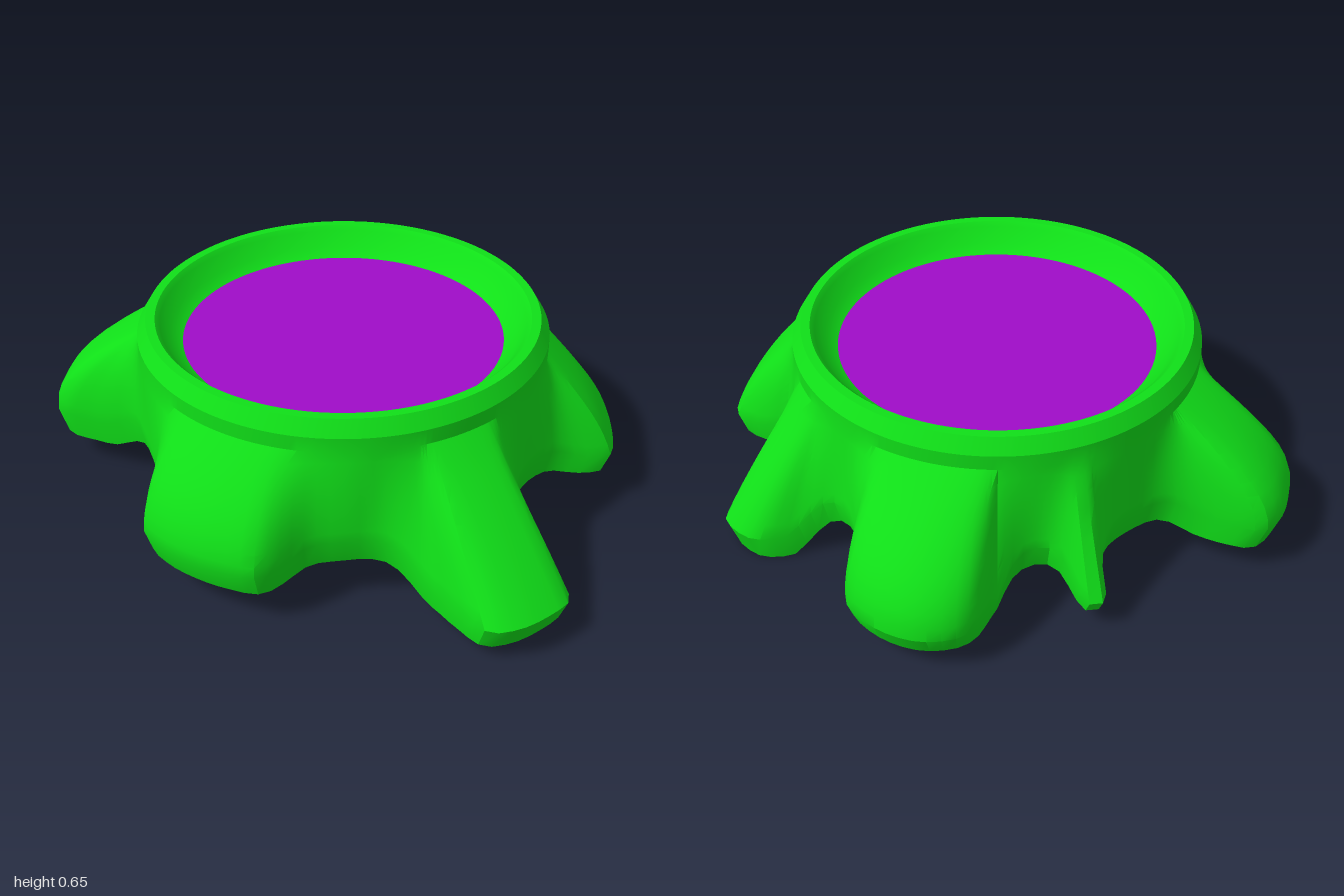
import * as THREE from 'three';
import { toCreasedNormals } from 'three/addons/utils/BufferGeometryUtils.js';

const CZ = 0.03; // z of the stump's axis
const SEGMENTS = 168;

// Footprint of the stump with its roots, as x, z pairs
const OUTLINE = [
  0.68, 0, 0.7, 0.14, 0.82, 0.25, 0.95, 0.34, 1, 0.39, 0.98, 0.48, 0.93, 0.58, 0.86, 0.64, 0.75, 0.61,
  0.62, 0.56, 0.47, 0.56, 0.35, 0.64, 0.28, 0.7, 0.24, 0.79, 0.2, 0.86, 0.1, 0.89, 0, 0.9,
  -0.12, 0.89, -0.22, 0.85, -0.25, 0.78, -0.29, 0.68, -0.37, 0.6, -0.49, 0.5, -0.58, 0.44,
  -0.74, 0.45, -0.9, 0.46, -0.96, 0.37, -1, 0.26, -0.99, 0.17, -0.92, 0.13, -0.8, 0.09, -0.71, 0.03,
  -0.67, -0.08, -0.66, -0.2, -0.69, -0.28, -0.76, -0.345, -0.73, -0.39, -0.67, -0.38, -0.6, -0.37,
  -0.55, -0.39, -0.51, -0.47, -0.53, -0.62, -0.55, -0.7, -0.54, -0.77, -0.46, -0.86, -0.33, -0.905,
  -0.19, -0.89, -0.14, -0.84, -0.07, -0.73, 0.02, -0.67, 0.1, -0.665, 0.18, -0.72, 0.25, -0.81,
  0.31, -0.85, 0.43, -0.84, 0.46, -0.8, 0.43, -0.67, 0.41, -0.56, 0.48, -0.48, 0.6, -0.51,
  0.72, -0.52, 0.79, -0.43, 0.855, -0.26, 0.82, -0.23, 0.72, -0.15, 0.69, -0.08,
];

// Each root: tip position, heights of its lower and upper tip edge, roundness of its back
const ROOTS = [
  { x: 0.95, z: 0.49, low: 0.05, high: 0.13, bulge: 0.15 },
  { x: 0, z: 0.9, low: 0.12, high: 0.2, bulge: 1 },
  { x: -0.98, z: 0.28, low: 0.1, high: 0.19, bulge: 1 },
  { x: -0.75, z: -0.36, low: 0.07, high: 0.12, bulge: 0 },
  { x: -0.38, z: -0.88, low: 0.08, high: 0.15, bulge: 1 },
  { x: 0.4, z: -0.84, low: 0, high: 0.09, bulge: 0.2 },
  { x: 0.8, z: -0.4, low: 0.13, high: 0.2, bulge: 0.6 },
];

// Rim profile from the inner floor edge to the outer wall, as radius, height
const RIM = [[0.525, 0.56], [0.565, 0.585], [0.595, 0.635], [0.61, 0.65], [0.64, 0.65], [0.67, 0.6]];
const WALL_LEVELS = 9;

// Section through the stump at one outline point: list of [radius, height]
function section(p) {
  const R = Math.hypot(p.x, p.z - CZ);
  const root = ROOTS.reduce((best, r) =>
    Math.hypot(r.x - p.x, r.z - p.z) < Math.hypot(best.x - p.x, best.z - p.z) ? r : best);
  const w = THREE.MathUtils.smoothstep(R, 0.68, 0.84);
  const low = THREE.MathUtils.lerp(0.16, root.low, w);
  const high = THREE.MathUtils.lerp(0.25, root.high, w);
  const rows = [...RIM];
  for (let k = 0; k <= WALL_LEVELS; k++) {
    const u = k / WALL_LEVELS;
    const f = THREE.MathUtils.lerp(Math.pow(u, 1.1), Math.sin(u * Math.PI / 2), root.bulge);
    rows.push([THREE.MathUtils.lerp(0.67, R, f), THREE.MathUtils.lerp(0.55, high, u)]);
  }
  rows.push([R * 0.97, low], [0.61, 0.15], [0, 0.15]); // tip edge and underside
  return rows;
}

function stumpGeometry() {
  const points = [];
  for (let i = 0; i < OUTLINE.length; i += 2) points.push(new THREE.Vector3(OUTLINE[i], 0, OUTLINE[i + 1]));
  const loop = new THREE.CatmullRomCurve3(points, true).getSpacedPoints(SEGMENTS).slice(0, SEGMENTS);
  const positions = [], index = [];
  let rows = 0;
  for (const p of loop) {
    const a = Math.atan2(p.z - CZ, p.x);
    const profile = section(p);
    rows = profile.length;
    for (const [r, y] of profile) positions.push(r * Math.cos(a), y, CZ + r * Math.sin(a));
  }
  for (let i = 0; i < SEGMENTS; i++) {
    for (let j = 0; j < rows - 1; j++) {
      const a = i * rows + j, b = ((i + 1) % SEGMENTS) * rows + j;
      index.push(a, b, b + 1);
      if (j < rows - 2) index.push(a, b + 1, a + 1);
    }
  }
  const g = new THREE.BufferGeometry();
  g.setAttribute('position', new THREE.Float32BufferAttribute(positions, 3));
  g.setIndex(index);
  return toCreasedNormals(g, 0.5);
}

export function createModel() {
  const group = new THREE.Group();
  group.name = 'rootedStump';

  // Hollow-topped stump with spreading roots
  const stump = new THREE.Mesh(stumpGeometry(), new THREE.MeshStandardMaterial({ color: 0x10e018 }));
  stump.name = 'stumpWithRoots';

  // Flat disc set inside the rim
  const disc = new THREE.Mesh(
    new THREE.CircleGeometry(0.526, 64).rotateX(-Math.PI / 2),
    new THREE.MeshStandardMaterial({ color: 0xa00dc8 }));
  disc.name = 'innerDisc';
  disc.position.set(0, 0.56, CZ);

  group.add(stump, disc);
  return group;
}
